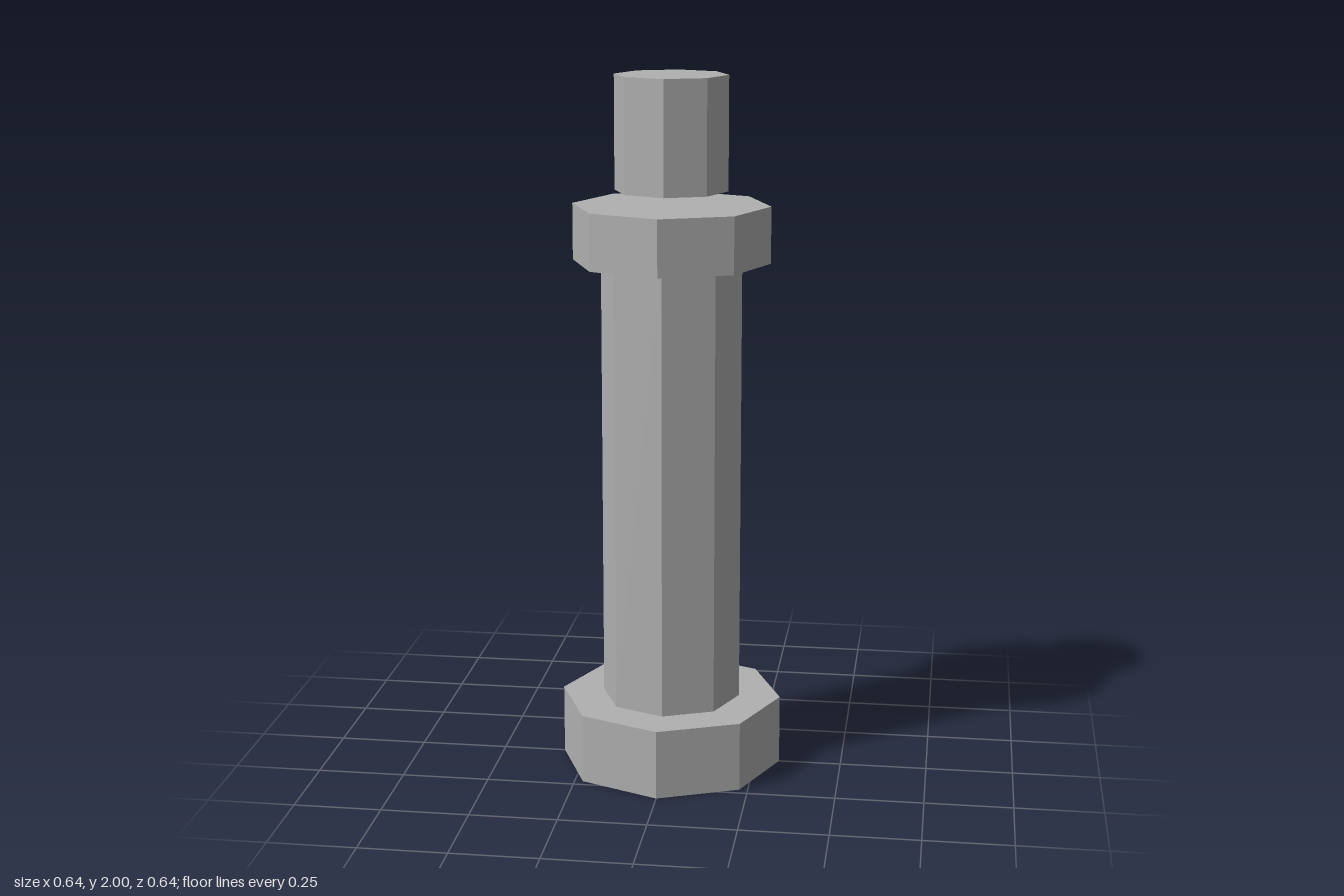
import * as THREE from 'three';

export function createModel() {
  const model = new THREE.Group();
  model.name = 'pillar';
  const grey = new THREE.MeshStandardMaterial({ color: 0xb0b0b0 });
  grey.name = 'grey';

  // Faceted octagonal drum between two heights, corners on the axes
  function addDrum(name, radius, bottom, top) {
    const indexed = new THREE.CylinderGeometry(radius, radius, top - bottom, 8);
    const geometry = indexed.toNonIndexed();
    geometry.computeVertexNormals(); // one normal per facet
    const mesh = new THREE.Mesh(geometry, grey);
    mesh.name = name;
    mesh.position.y = (bottom + top) / 2;
    model.add(mesh);
  }

  addDrum('base', 0.32, 0, 0.2);
  addDrum('shaft', 0.2, 0.2, 1.48);
  addDrum('collar', 0.28, 1.48, 1.64);
  // The cap floats just above the collar
  addDrum('cap', 0.16, 1.68, 2);

  return model;
}
